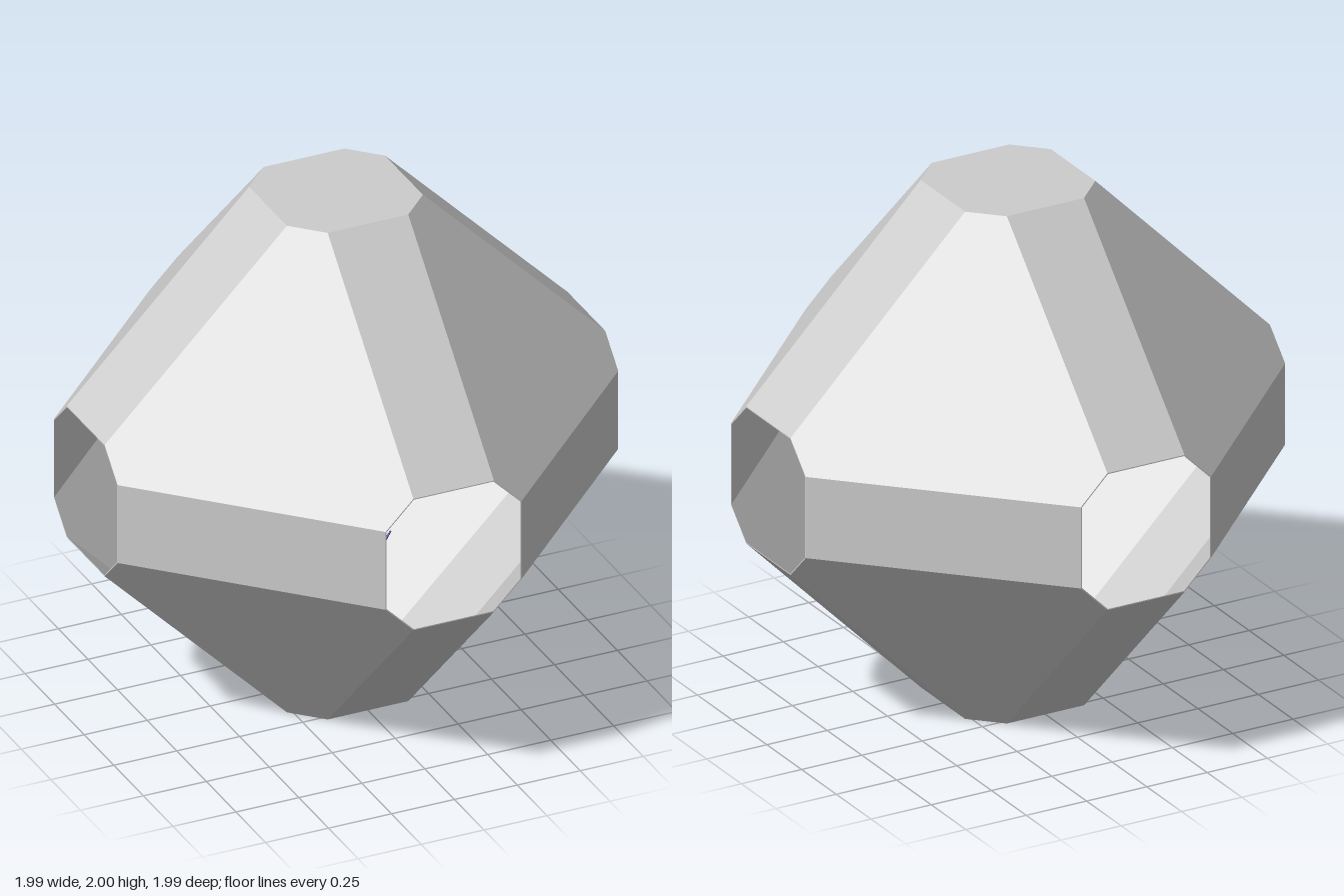
import * as THREE from 'three';

// Corners: every permutation and sign of (a, b, c); the top and bottom ones lie at height h
function corners(a, b, c, h) {
  const list = [];
  for (const [x, y, z] of [[a, b, c], [a, c, b], [b, h, c], [c, h, b], [b, c, a], [c, b, a]])
    for (const sx of [-1, 1]) for (const sy of [-1, 1]) for (const sz of [-1, 1])
      list.push(new THREE.Vector3(x * sx, y * sy, z * sz));
  return list;
}

// Corners of the face looking along n, counter-clockwise from outside
function faceLoop(points, n) {
  const far = Math.max(...points.map(p => p.dot(n)));
  const u = new THREE.Vector3(0.3, 0.5, 0.8).cross(n).normalize();
  const v = n.clone().cross(u).normalize();
  const angle = p => Math.atan2(p.dot(v), p.dot(u));
  return points.filter(p => far - p.dot(n) < 0.03).sort((p, q) => angle(p) - angle(q));
}

function fan(out, loop, flip) {
  for (let i = 1; i < loop.length - 1; i++)
    out.push(loop[0], loop[flip ? i + 1 : i], loop[flip ? i : i + 1]);
}

function solid(name, triangles, material) {
  const geometry = new THREE.BufferGeometry().setFromPoints(triangles);
  geometry.computeVertexNormals();
  const mesh = new THREE.Mesh(geometry, material);
  mesh.name = name;
  return mesh;
}

// Tapered angular branch following a few points
function limb(name, points, radius, material) {
  const curve = new THREE.CatmullRomCurve3(points.map(p => new THREE.Vector3(...p)), false, 'catmullrom', 0.05);
  const steps = (points.length - 1) * 4, sides = 5;
  const geometry = new THREE.TubeGeometry(curve, steps, radius, sides, false);
  const pos = geometry.attributes.position, p = new THREE.Vector3();
  for (let i = 0; i < pos.count; i++) {
    const t = Math.floor(i / (sides + 1)) / steps;
    const centre = curve.getPointAt(t);
    p.fromBufferAttribute(pos, i).sub(centre).multiplyScalar(1 - 0.92 * t).add(centre);
    pos.setXYZ(i, p.x, p.y, p.z);
  }
  const mesh = new THREE.Mesh(geometry, material);
  mesh.name = name;
  return mesh;
}

export function createModel() {
  const model = new THREE.Group();
  model.name = 'hollowPlanter';
  const grey = new THREE.MeshStandardMaterial({ color: 0xcccccc, flatShading: true });
  const indigo = new THREE.MeshStandardMaterial({ color: 0x1c0a78, flatShading: true, side: THREE.DoubleSide });

  // Thin faceted shell, closed above and below, with open octagonal windows on its four sides
  const shell = new THREE.Group();
  shell.name = 'shell';
  shell.position.y = 1;
  model.add(shell);
  const outer = corners(0.994, 0.27, 0.16, 1), inner = corners(0.994, 0.266, 0.158, 0.994);
  const outside = [], inside = [], rims = [];
  for (const x of [-1, 0, 1]) for (const y of [-1, 0, 1]) for (const z of [-1, 0, 1]) {
    const n = new THREE.Vector3(x, y, z), kind = n.lengthSq();
    if (kind === 0) continue;
    const o = faceLoop(outer, n), k = faceLoop(inner, n);
    if (kind > 1 || y !== 0) {
      fan(outside, o, false);
      fan(inside, k, true);
    } else {
      o.forEach((p, i) => {
        const j = (i + 1) % o.length;
        rims.push(p, o[j], k[j], p, k[j], k[i]);
      });
    }
  }
  shell.add(solid('outerWalls', outside, grey), solid('innerWalls', inside, grey), solid('windowRims', rims, grey));

  // Branching plant rising from the floor
  const plant = new THREE.Group();
  plant.name = 'plant';
  model.add(plant);
  const limbs = [
    ['trunk', [[0, 0.03, 0], [-0.03, 0.25, 0.02], [0.01, 0.5, -0.02], [-0.015, 0.75, -0.055]], 0.06],
    ['tallBranch', [[-0.01, 0.66, -0.045], [-0.02, 0.74, -0.065], [-0.055, 0.8, -0.13], [-0.07, 0.825, -0.165], [-0.09, 0.9, -0.18], [-0.04, 0.95, -0.165]], 0.028],
    ['frontBranch', [[-0.01, 0.66, -0.055], [-0.015, 0.735, -0.05], [0.005, 0.79, 0.01], [0.01, 0.81, 0.05], [-0.03, 0.795, 0.14]], 0.028],
    ['sideTwig', [[0, 0.775, -0.005], [0.02, 0.805, 0.04], [0.08, 0.825, 0.08]], 0.018],
    ['backTwig', [[-0.06, 0.81, -0.145], [-0.06, 0.812, -0.205]], 0.014],
    ['lowBranch', [[-0.02, 0.3, 0.01], [0.09, 0.4, 0.06], [0.12, 0.53, 0.09], [0.18, 0.6, 0.08]], 0.035],
    ['lowBranch', [[-0.01, 0.38, 0], [-0.1, 0.46, 0.05], [-0.13, 0.6, 0.08], [-0.19, 0.65, 0.1]], 0.032],
    ['lowBranch', [[0, 0.45, -0.01], [0.06, 0.53, -0.1], [0.07, 0.64, -0.14]], 0.03],
  ];
  for (const [name, points, radius] of limbs) plant.add(limb(name, points, radius, indigo));

  return model;
}
